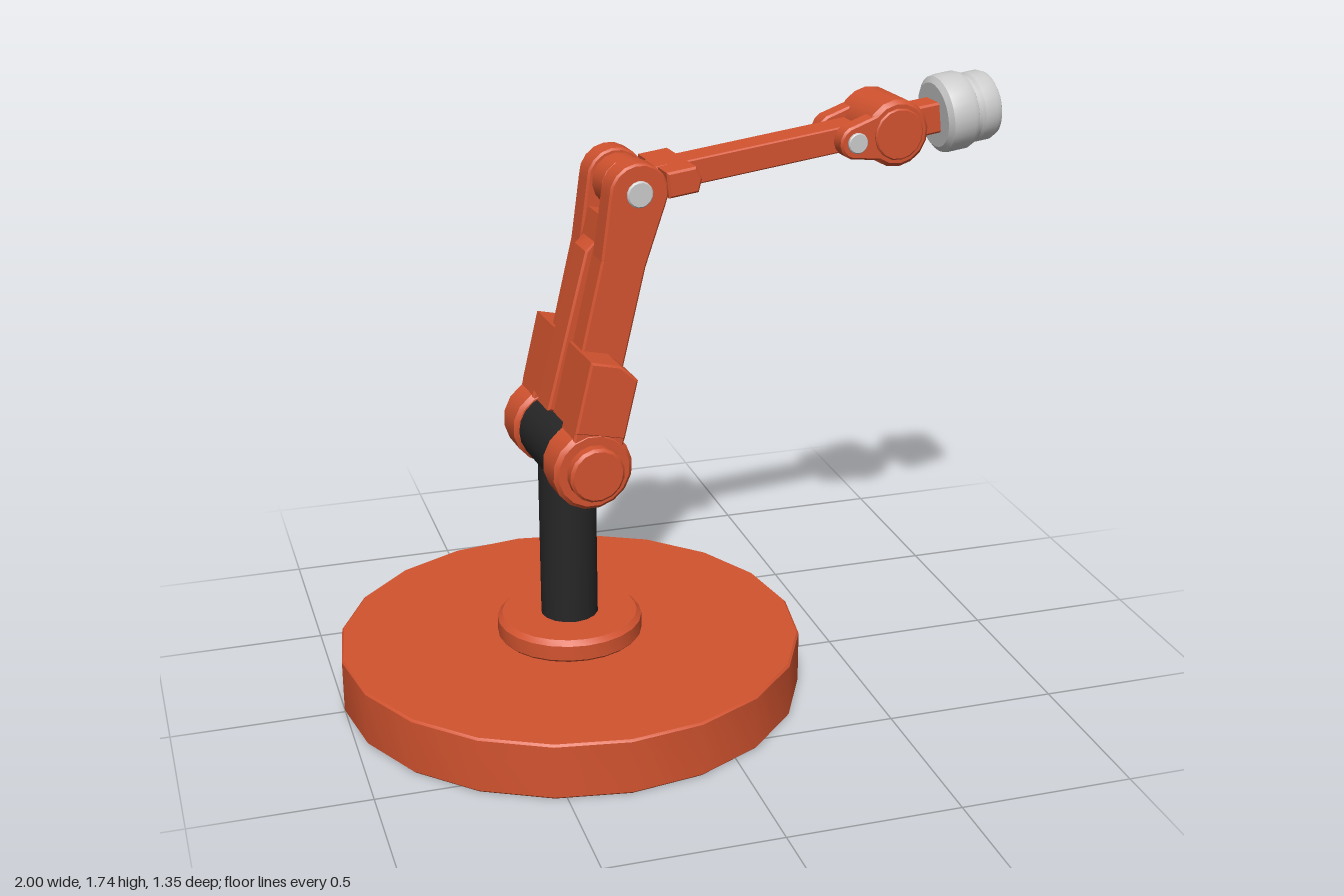
import * as THREE from 'three';
import { toCreasedNormals } from 'three/addons/utils/BufferGeometryUtils.js';

const orange = new THREE.MeshStandardMaterial({ color: 0xd2532f });
const black = new THREE.MeshStandardMaterial({ color: 0x262626 });
const grey = new THREE.MeshStandardMaterial({ color: 0xcccccc });

function add(parent, name, geometry, material, x = 0, y = 0, z = 0) {
  const mesh = new THREE.Mesh(toCreasedNormals(geometry, 0.5), material);
  mesh.name = name;
  mesh.position.set(x, y, z);
  parent.add(mesh);
  return mesh;
}

function group(parent, name, x, y, z) {
  const g = new THREE.Group();
  g.name = name;
  g.position.set(x, y, z);
  parent.add(g);
  return g;
}

// Bevelled round solid from y0 to y1, optionally laid along z
function disc(r, y0, y1, bevel, sides) {
  return new THREE.LatheGeometry([
    [0, y0], [r - bevel, y0], [r, y0 + bevel], [r, y1 - bevel], [r - bevel, y1], [0, y1],
  ].map(([x, y]) => new THREE.Vector2(x, y)), sides);
}
const discZ = (r, z0, z1, bevel = 0.01, sides = 16) => disc(r, z0, z1, bevel, sides).rotateX(Math.PI / 2);

// Side outline in x/y extruded from z0 to z1 with small bevelled edges
function plate(points, z0, z1, b = 0.006) {
  const shape = new THREE.Shape(points.map(([x, y]) => new THREE.Vector2(x, y)));
  return new THREE.ExtrudeGeometry(shape, {
    depth: z1 - z0 - 2 * b, bevelEnabled: true, bevelSize: b, bevelThickness: b, bevelOffset: -b, bevelSegments: 1,
  }).translate(0, 0, z0 + b);
}
const rect = (x0, x1, y0, y1) => [[x0, y0], [x1, y0], [x1, y1], [x0, y1]];

// Points of an arc, used for the rounded ends of lugs
const arc = (cx, cy, r, a0, a1, n = 8) => Array.from({ length: n + 1 }, (_, i) => {
  const a = a0 + (a1 - a0) * i / n;
  return [cx + r * Math.cos(a), cy + r * Math.sin(a)];
});

export function createModel() {
  const model = new THREE.Group();
  model.name = 'robotArm';

  // Stand
  const stand = group(model, 'stand', -0.325, 0, 0);
  add(stand, 'base', disc(0.677, 0, 0.166, 0.006, 20), orange);
  add(stand, 'flange', disc(0.212, 0.16, 0.232, 0.014, 24), orange);
  add(stand, 'post', new THREE.CylinderGeometry(0.084, 0.084, 0.5, 16).translate(0, 0.48, 0), black);

  const turret = group(stand, 'turret', 0, 0.768, 0);
  turret.rotation.y = 0.077;
  add(turret, 'shoulderBarrel', discZ(0.104, -0.123, 0.123, 0.006, 20), black);

  // Upper arm, its length along local y
  const L = 0.767;
  const upper = group(turret, 'upperArm', 0, 0, 0);
  upper.rotation.z = -0.237;
  add(upper, 'upperBeam', plate(rect(-0.066, 0.066, 0.095, L - 0.09), -0.132, 0.132), orange);
  add(upper, 'shoulderBlock', plate(
    [[-0.078, 0.1], [0.07, 0.1], [0.07, 0.275], [0.01, 0.31], [-0.078, 0.31]], -0.242, 0.242), orange);
  add(upper, 'backRidge', plate(
    [[-0.06, 0.1], [-0.06, 0.61], [-0.085, 0.57], [-0.095, 0.1]].reverse(), -0.05, 0.05), orange);

  for (const s of [-1, 1]) {
    const span = (a, b) => (s > 0 ? [a, b] : [-b, -a]);
    add(upper, 'shoulderCheek', discZ(0.116, ...span(0.126, 0.242), 0.012), orange);
    add(upper, 'cheekWeb', plate(rect(-0.078, 0.07, 0, 0.15), ...span(0.128, 0.24)), orange);
    add(upper, 'shoulderCap', discZ(0.08, ...span(0.235, 0.278), 0.008), orange);
    // Elbow fork lugs
    const lug = [[-0.066, L - 0.2], [0.066, L - 0.2], ...arc(0, L, 0.086, -0.25, Math.PI + 0.25, 10)];
    add(upper, 'elbowLug', plate(lug, ...span(0.053, 0.132)), orange);
  }
  add(upper, 'elbowPin', discZ(0.038, -0.14, 0.14, 0.004), grey, 0, L, 0);

  // Forearm, its length along local x
  const fore = group(turret, 'forearm', L * Math.sin(0.237), L * Math.cos(0.237), 0);
  fore.rotation.z = 0.112;
  add(fore, 'elbowKnuckle', discZ(0.078, -0.048, 0.048), orange);
  add(fore, 'knuckleNeck', plate(rect(0, 0.12, -0.05, 0.038), -0.047, 0.047), orange);
  add(fore, 'elbowBlock', plate(
    [[0.09, -0.037], [0.178, -0.037], [0.192, 0], [0.178, 0.037], [0.09, 0.037]], -0.117, 0.117), orange);
  add(fore, 'forearmBar', plate(rect(0.15, 0.7, -0.037, 0.037), -0.046, 0.046, 0.004), orange);

  // Wrist with a fork gripping the bar
  for (const s of [-1, 1]) {
    const [z0, z1] = s > 0 ? [0.048, 0.104] : [-0.104, -0.048];
    const lug = [...arc(0.67, 0, 0.05, Math.PI / 2, Math.PI * 1.5, 8), [0.78, -0.075], [0.78, 0.075]];
    add(fore, 'wristLug', plate(lug, z0, z1), orange);
  }
  add(fore, 'wristPin', discZ(0.03, -0.114, 0.114, 0.003), grey, 0.67, 0, 0);
  add(fore, 'wristBarrel', discZ(0.098, -0.104, 0.104, 0.012), orange, 0.8, 0, 0);
  add(fore, 'wristCap', discZ(0.075, -0.112, 0.112, 0.004), orange, 0.8, 0, 0);
  add(fore, 'toolNeck', plate(rect(0.85, 0.985, -0.045, 0.045), -0.042, 0.042), orange);

  // Stepped round tool head with a recessed mouth
  const profile = [[0, 0], [0.095, 0], [0.112, 0.012], [0.115, 0.03], [0.115, 0.078], [0.108, 0.094],
    [0.097, 0.1], [0.097, 0.11], [0.103, 0.118], [0.103, 0.155], [0.094, 0.174], [0.08, 0.182],
    [0.064, 0.18], [0.056, 0.17], [0.056, 0.13], [0, 0.13]];
  const tool = new THREE.LatheGeometry(profile.map(([r, h]) => new THREE.Vector2(r, h)), 28);
  add(fore, 'toolHead', tool.rotateZ(-Math.PI / 2), grey, 0.965, 0, 0);

  return model;
}
